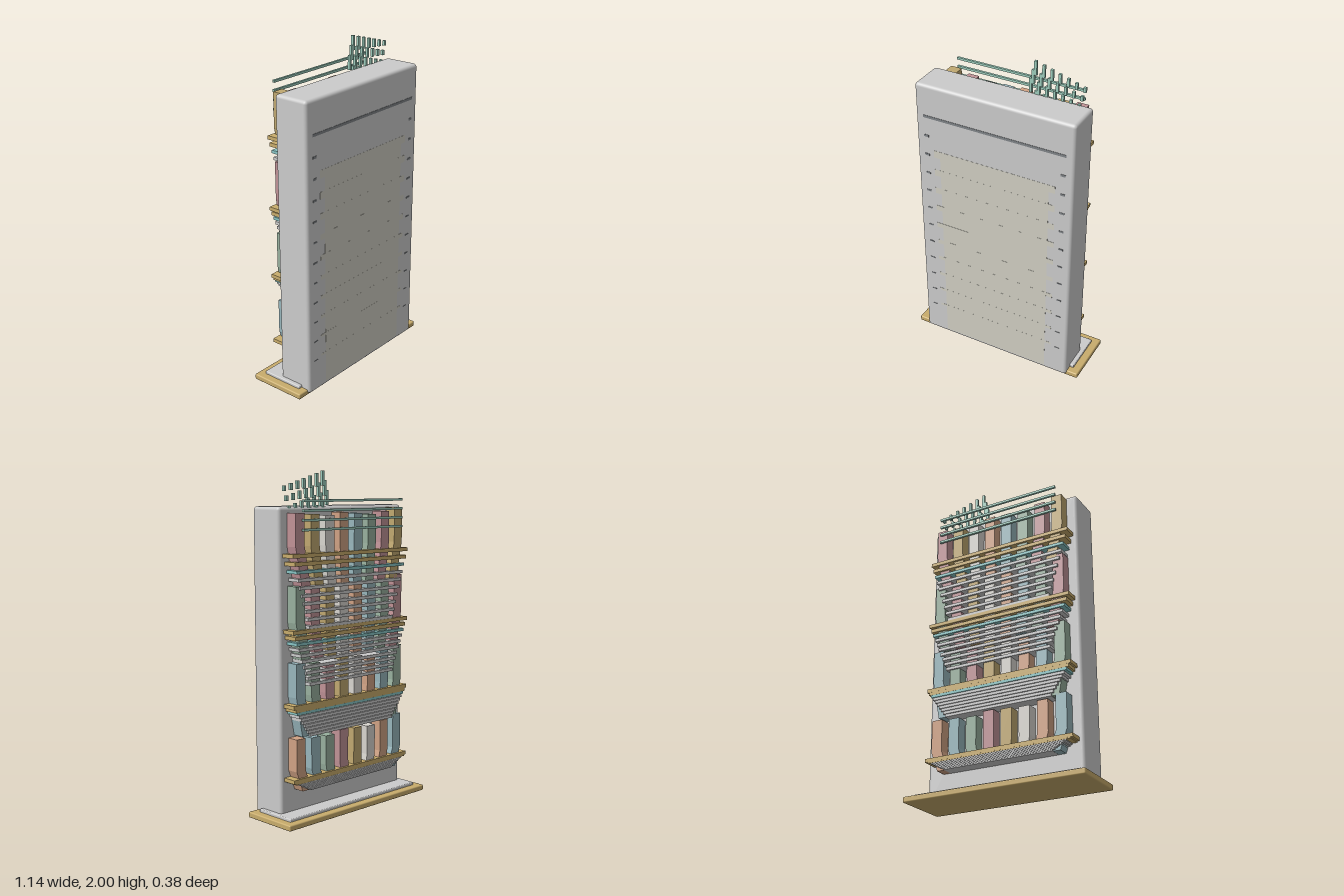
import * as THREE from 'three';
import { RoundedBoxGeometry } from 'three/addons/geometries/RoundedBoxGeometry.js';

const mats = {};
const mat = (color) => (mats[color] ??= new THREE.MeshStandardMaterial({ color }));

const GREY = 0xcccccc, DARK = 0x808488, GOLD = 0xc8ac6c, TEAL = 0x88c4c4, MINT = 0x9cccbc, CREAM = 0xd0cec2;
const BOOKS = [0xc09296, 0xc0a870, 0xd8d5cf, 0xd0a284, 0x98b6bc, 0x98b09e];

export function createModel() {
  const model = new THREE.Group();

  function group(name) {
    const g = new THREE.Group();
    g.name = name;
    model.add(g);
    return g;
  }

  // Box given by its limits on each axis; a radius rounds its edges
  function box(parent, name, color, [x0, x1], [y0, y1], [z0, z1], radius = 0) {
    const size = [x1 - x0, y1 - y0, z1 - z0];
    const geo = radius ? new RoundedBoxGeometry(...size, 3, radius) : new THREE.BoxGeometry(...size);
    const mesh = new THREE.Mesh(geo, mat(color));
    mesh.position.set((x0 + x1) / 2, (y0 + y1) / 2, (z0 + z1) / 2);
    mesh.name = name;
    parent.add(mesh);
    return mesh;
  }

  // Plinth and slab body
  box(model, 'plinth', GOLD, [-0.57, 0.57], [0, 0.035], [-0.19, 0.17], 0.008);
  box(model, 'plinthStep', GREY, [-0.525, 0.525], [0.03, 0.052], [-0.145, 0.125], 0.006);
  box(model, 'body', GREY, [-0.5, 0.5], [0.008, 1.8], [-0.037, 0.185], 0.02);

  // Front face: inlaid panel, cross bands, slot and side ticks
  const front = group('frontFace');
  box(front, 'frontPanel', CREAM, [-0.35, 0.35], [0.03, 1.37], [0.18, 0.1856]);
  box(front, 'frontSlot', DARK, [-0.45, 0.45], [1.592, 1.608], [0.18, 0.187]);
  for (let i = 0; i < 11; i++) {
    const y = 1.473 - i * 0.126, h = 0.007 - i * 0.0005;
    for (const s of [-1, 1]) {
      box(front, 'frontTick', DARK, [s * 0.435 - 0.015, s * 0.435 + 0.015], [y - h, y + h], [0.18, 0.187]);
    }
    if (i > 0) {
      const b = 0.025 - i * 0.0018;
      box(front, 'frontBand', CREAM, [-0.39, 0.39], [y + 0.015 - b, y + 0.015 + b], [0.18, 0.1859]);
    }
  }

  // Book standing on a shelf: straight above, leaning to the middle below it
  function book(parent, x, top, knee, bottom, color) {
    const w = 0.034, xb = x * 0.89;
    const shape = new THREE.Shape([
      new THREE.Vector2(xb - w, bottom), new THREE.Vector2(xb + w, bottom),
      new THREE.Vector2(x + w, knee), new THREE.Vector2(x + w, top),
      new THREE.Vector2(x - w, top), new THREE.Vector2(x - w, knee),
    ]);
    const geo = new THREE.ExtrudeGeometry(shape, { depth: 0.073, bevelEnabled: false });
    const mesh = new THREE.Mesh(geo, mat(color));
    mesh.position.z = -0.108;
    mesh.name = 'book';
    parent.add(mesh);
  }

  // Four tiers on the back: a row of books over ever tighter, narrowing slats
  const tiers = [
    { y: 1.53, step: 0.045, top: 1.765, bottom: 1.36 },
    { y: 1.105, step: 0.034, top: 1.36, bottom: 0.925 },
    { y: 0.68, step: 0.0195, top: 0.925, bottom: 0.5 },
    { y: 0.25, step: 0.0075, top: 0.49, bottom: 0.18 },
  ];
  tiers.forEach(({ y, step, top, bottom }, r) => {
    const slats = group('shelfSlats');
    for (let i = 0; i < 10; i++) {
      const hw = 0.472 - i * 0.014, yc = y - i * step;
      const h = i < 2 ? 0.011 : Math.min(0.009, step * 0.42);
      const color = i < 2 ? GOLD : i === 2 ? TEAL : GREY;
      box(slats, i < 2 ? 'shelf' : 'slat', color, [-hw, hw], [yc - h, yc + h],
        [-0.122 + i * 0.0003, -0.03]);
    }
    const books = group('bookRow');
    for (let i = 0; i < 8; i++) {
      const x = 0.405 - i * 0.115;
      const extra = i === 7 ? 0.02 : -0.008 * (i % 3);
      book(books, x, top + extra, y + 0.05, bottom, BOOKS[(i + 6 - r) % 6]);
    }
  });

  // Thin rails behind the top row of books
  const rails = group('topRails');
  for (let i = 0; i < 4; i++) {
    const y = 1.832 - i * 0.053;
    box(rails, 'rail', MINT, [-0.405, 0.405], [y - 0.007, y + 0.007], [-0.139, -0.125]);
  }

  // Leaning columns of small pegs rising over the top, shorter towards the left
  const pegs = group('topPegs');
  for (let i = 0; i < 7; i++) {
    const h = 0.043 - i * 0.0047;
    for (let j = 0; j < 4; j++) {
      const x = 0.153 + i * 0.049 - j * 0.015, y = 1.957 - i * 0.0095 - j * 0.055;
      if (x > 0.11) box(pegs, 'peg', MINT, [x - 0.008, x + 0.008], [y - h, y + h], [-0.034, -0.018]);
    }
  }

  return model;
}
